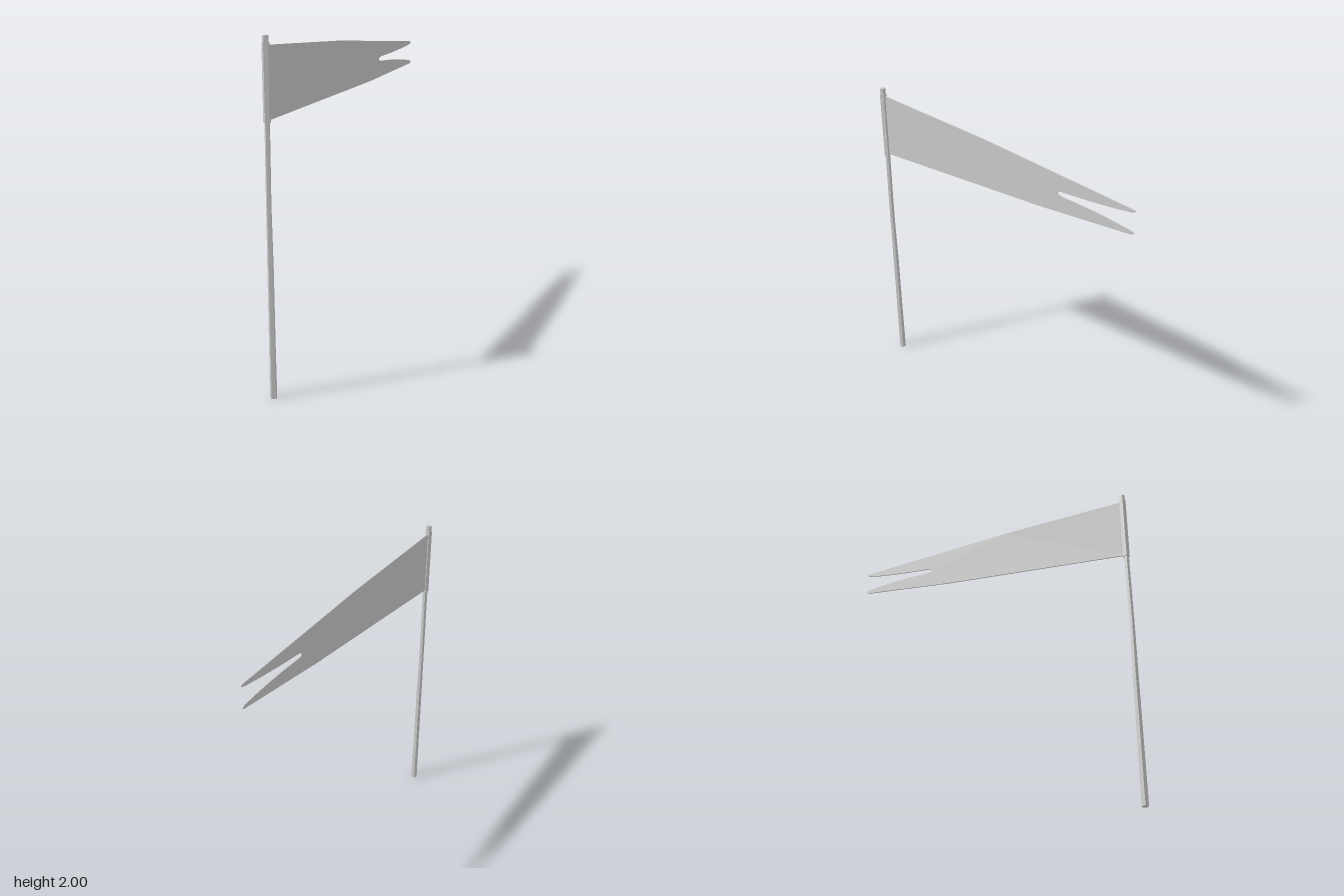
import * as THREE from 'three';

const POLE_Z = 0.889;
const SIDES = 5;

const material = () => new THREE.MeshStandardMaterial({ color: 0xcccccc, flatShading: true });

// Five-sided closed turning from [radius, y, zShift] rings, one corner facing front
function turned(name, rings) {
  const first = rings[0], last = rings[rings.length - 1];
  const all = [[0, first[1], first[2]], ...rings, [0, last[1], last[2]]];
  const geometry = new THREE.LatheGeometry(all.map(([r, y]) => new THREE.Vector2(r, y)), SIDES);
  const pos = geometry.attributes.position;
  for (let i = 0; i < pos.count; i++) {
    pos.setZ(i, pos.getZ(i) + all[i % all.length][2]); // slight bend of the wood
  }
  const mesh = new THREE.Mesh(geometry, material());
  mesh.name = name;
  mesh.position.z = POLE_Z;
  return mesh;
}

export function createModel() {
  const group = new THREE.Group();
  group.name = 'pennantOnPole';

  // Slightly uneven wooden pole
  group.add(turned('pole', [
    [0.021, 0, 0], [0.019, 0.35, 0.001], [0.018, 0.76, 0.001],
    [0.015, 1.1, 0.004], [0.015, 1.5, 0.001], [0.017, 2, 0],
  ]));

  // Cloth sleeve wrapped round the pole
  group.add(turned('sleeve', [[0.021, 1.555, 0], [0.021, 1.965, 0]]));

  // Swallow-tailed pennant: drawn as (distance towards the back, height)
  const s = new THREE.Shape();
  s.moveTo(-0.885, 1.563);
  s.lineTo(0.3, 1.625);
  s.lineTo(0.895, 1.674);
  s.quadraticCurveTo(0.92, 1.685, 0.89, 1.694);
  s.quadraticCurveTo(0.7, 1.728, 0.45, 1.735);
  s.bezierCurveTo(0.405, 1.74, 0.405, 1.762, 0.45, 1.765);
  s.quadraticCurveTo(0.7, 1.777, 0.88, 1.803);
  s.quadraticCurveTo(0.92, 1.812, 0.895, 1.822);
  s.lineTo(-0.1, 1.908);
  s.lineTo(-0.885, 1.951);
  s.closePath();
  const cloth = new THREE.ExtrudeGeometry(s, { depth: 0.007, bevelEnabled: false, curveSegments: 8 });
  cloth.rotateY(Math.PI / 2);
  const pennant = new THREE.Mesh(cloth, material());
  pennant.name = 'pennant';
  pennant.position.x = -0.007;
  group.add(pennant);

  return group;
}
